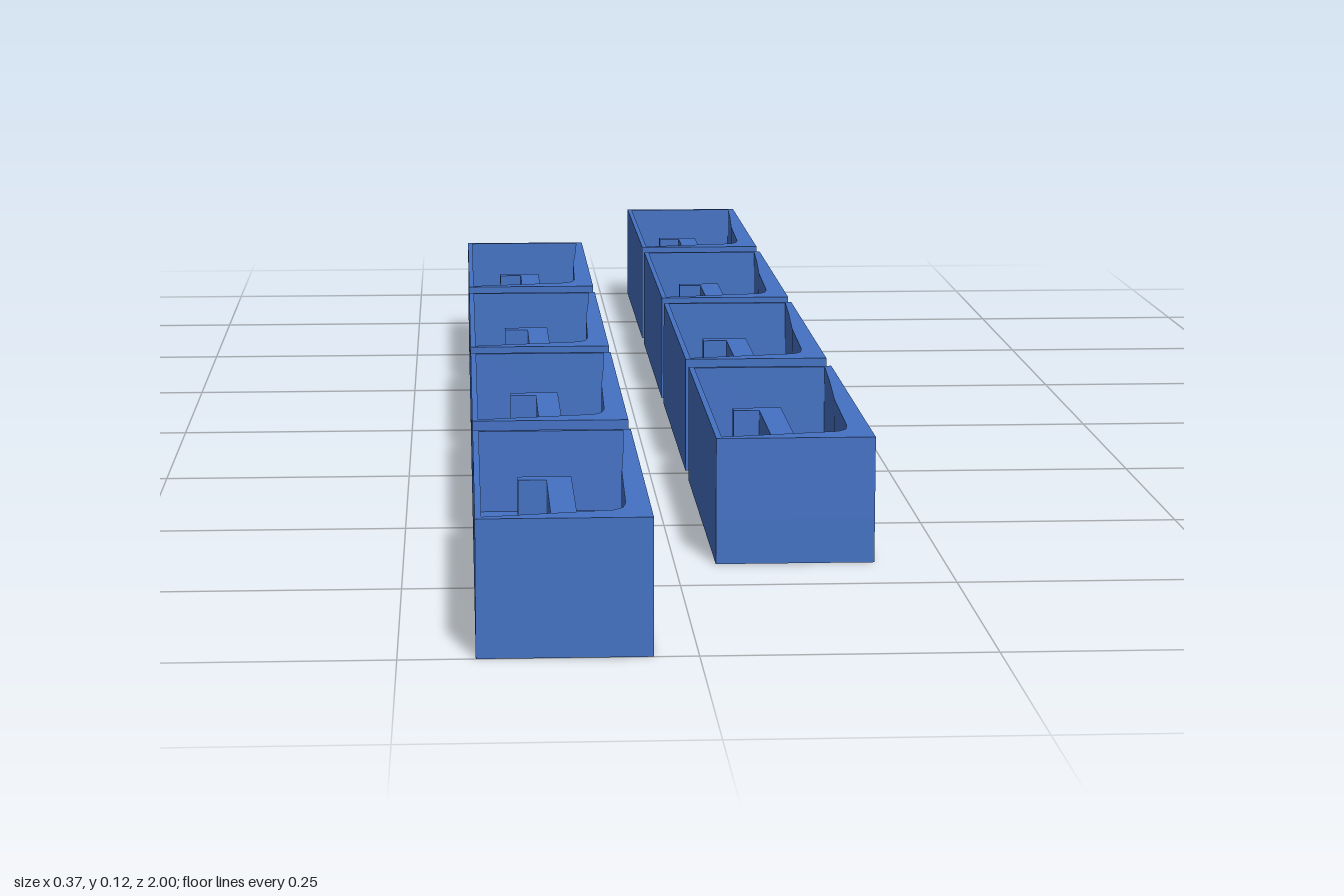
import * as THREE from 'three';

const W = 0.147, L = 0.384, H = 0.118; // tray width, length, height
const FLOOR = 0.042, RIDGE = 0.086;    // heights of cavity floor and ridge top

// Outline given as [x, z] points in plan
const plan = (pts, Type = THREE.Shape) => new Type(pts.map(([x, z]) => new THREE.Vector2(x, -z)));

// Extrude a plan shape upward from y0 to y1
function slab(shape, y0, y1) {
  const g = new THREE.ExtrudeGeometry(shape, { depth: y1 - y0, bevelEnabled: false });
  return g.rotateX(-Math.PI / 2).translate(0, y0, 0);
}

export function createModel() {
  const model = new THREE.Group();
  const material = new THREE.MeshStandardMaterial({ color: 0x4472c4, flatShading: true });

  // Outer block with a tapered pocket, slanted at the front end
  const outer = [[-W / 2, L / 2], [W / 2, L / 2], [W / 2, -L / 2], [-W / 2, -L / 2]];
  const pocket = [
    [-0.068, -0.186], [0.066, -0.186], [0.062, -0.1], [0.056, 0],
    [0.053, 0.135], [0.05, 0.153], [0.042, 0.162], [-0.068, 0.184],
  ];
  const rim = plan(outer);
  rim.holes.push(plan(pocket, THREE.Path));
  const wallGeo = slab(rim, FLOOR, H);
  const baseGeo = slab(plan(outer), 0, FLOOR);

  // Hooked ridge standing on the pocket floor
  const ridgeGeo = slab(plan([
    [-0.033, -0.132], [0.016, -0.132], [0.016, 0.096],
    [-0.007, 0.096], [-0.007, -0.117], [-0.033, -0.117],
  ]), FLOOR, RIDGE);

  const parts = { trayBase: baseGeo, trayWalls: wallGeo, hookedRidge: ridgeGeo };

  // Two staggered rows of four trays
  const rightRow = [-0.808, -0.378, 0.044, 0.475];
  for (const side of [1, -1]) {
    for (const z of rightRow) {
      const tray = new THREE.Group();
      tray.name = 'tray';
      for (const [name, geo] of Object.entries(parts)) {
        const mesh = new THREE.Mesh(geo, material);
        mesh.name = name;
        tray.add(mesh);
      }
      tray.position.set(side * 0.1115, 0, side * z);
      model.add(tray);
    }
  }
  return model;
}
